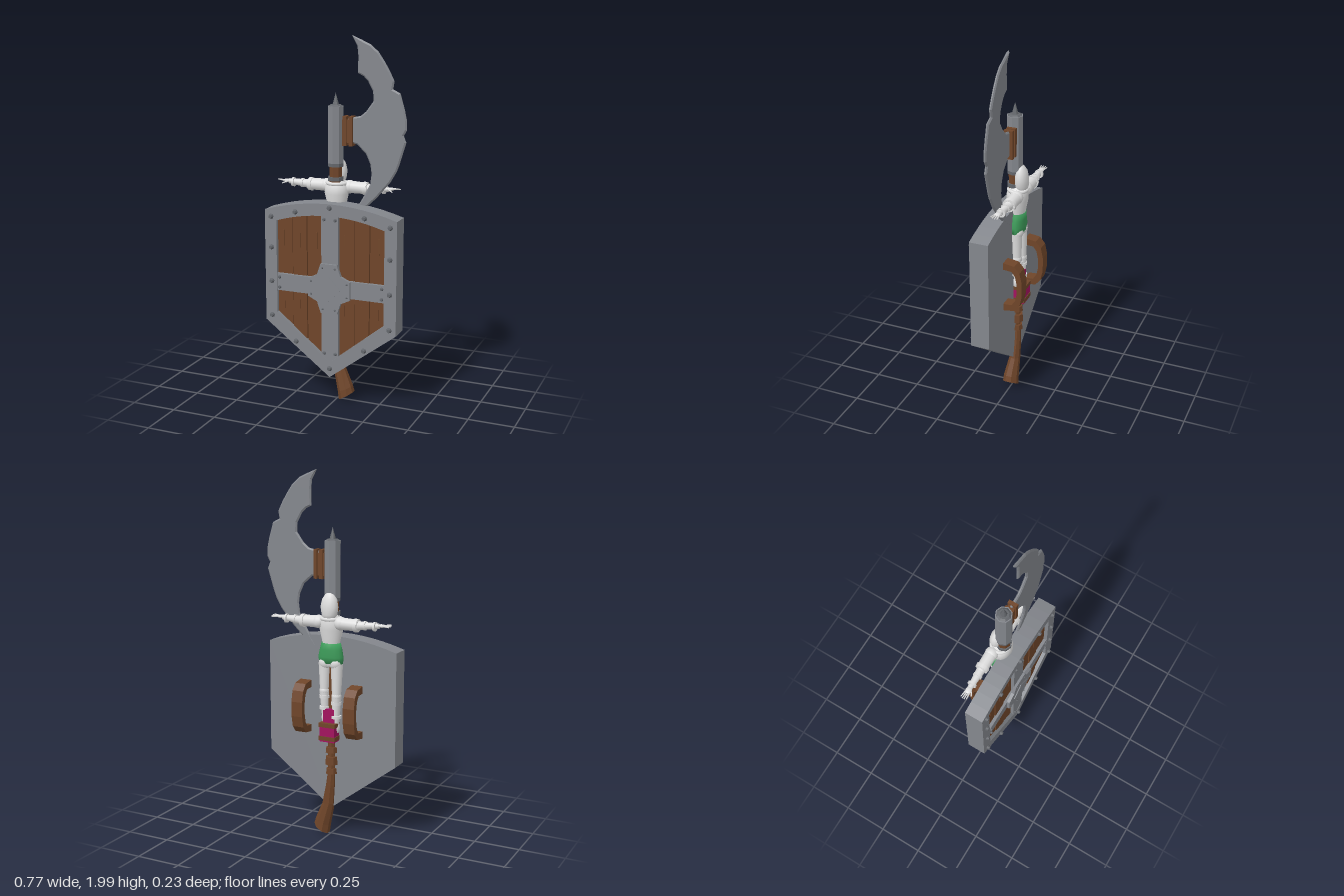
import * as THREE from 'three';

const paint = (name, color) => Object.assign(new THREE.MeshStandardMaterial({ color }), { name });

export function createModel() {
  const steel = paint('steel', 0x84878d), wood = paint('wood', 0x6f4529), dark = paint('dark steel', 0x64676c);
  const white = paint('white', 0xdedede), green = paint('green', 0x3d9c5a), pink = paint('magenta', 0xa3125f);
  const model = new THREE.Group();

  const add = (parent, name, geo, mat, x = 0, y = 0, z = 0) => {
    const m = new THREE.Mesh(geo, mat);
    m.name = name;
    m.position.set(x, y, z);
    parent.add(m);
    return m;
  };
  const part = (name, x = 0) => {
    const g = new THREE.Group();
    g.name = name;
    g.position.x = x;
    model.add(g);
    return g;
  };
  const flat = (geo) => {
    const g = geo.index ? geo.toNonIndexed() : geo;
    g.computeVertexNormals();
    return g;
  };
  const box = (w, h, d) => new THREE.BoxGeometry(w, h, d);
  const outline = (pts) => new THREE.Shape(pts.map(([x, y]) => new THREE.Vector2(x, y)));
  const slab = (shape, depth) => new THREE.ExtrudeGeometry(shape, { depth, bevelEnabled: false });

  // Skin over elliptic rings listed upward: [y, cx, cz, rx, rz, tilt]
  const loft = (rings, sides, smooth) => {
    const pos = [], idx = [], n = sides, last = (rings.length - 1) * n;
    for (const [y, cx, cz, rx, rz, tilt = 0] of rings)
      for (let i = 0; i < n; i++) {
        const a = ((i + 0.5) / n) * Math.PI * 2, dx = Math.cos(a) * rx;
        pos.push(cx + dx, y + tilt * dx, cz + Math.sin(a) * rz);
      }
    for (let r = 0; r < last; r += n)
      for (let i = 0; i < n; i++) {
        const a = r + i, b = r + (i + 1) % n;
        idx.push(a, a + n, b, b, a + n, b + n);
      }
    for (let i = 1; i < n - 1; i++) idx.push(0, i, i + 1, last, last + i + 1, last + i);
    const g = new THREE.BufferGeometry();
    g.setAttribute('position', new THREE.Float32BufferAttribute(pos, 3));
    g.setIndex(idx);
    if (!smooth) return flat(g);
    g.computeVertexNormals();
    return g;
  };

  // Tapered rod between two points
  const rod = (parent, name, a, b, ra, rb, mat, sides = 12) => {
    const p = new THREE.Vector3(...a), q = new THREE.Vector3(...b), d = q.clone().sub(p);
    const m = add(parent, name, new THREE.CylinderGeometry(rb, ra, d.length(), sides), mat);
    m.position.copy(p).add(q).multiplyScalar(0.5);
    m.quaternion.setFromUnitVectors(new THREE.Vector3(0, 1, 0), d.normalize());
  };
  const ball = (parent, name, mat, [x, y, z], rx, ry = rx, rz = rx) =>
    add(parent, name, new THREE.SphereGeometry(1, 16, 12), mat, x, y, z).scale.set(rx, ry, rz);

  // ---- Shield ----
  const shield = part('shield', -0.007);
  const top = (x, mid, drop, half) => mid - drop * (x / half) ** 2;
  const crest = (half, mid, drop, low, tip) => {
    const pts = [[0, tip], [half, low]];
    for (let i = 6; i >= -6; i--) pts.push([(half * i) / 6, top((half * i) / 6, mid, drop, half)]);
    pts.push([-half, low]);
    return outline(pts);
  };
  add(shield, 'shieldBody', slab(crest(0.378, 1.13, 0.06, 0.45, 0.165), 0.065), steel, 0, 0, -0.01);
  const rim = crest(0.378, 1.13, 0.06, 0.45, 0.165);
  rim.holes.push(crest(0.31, 1.065, 0.05, 0.5, 0.25));
  add(shield, 'shieldRim', slab(rim, 0.04), steel, 0, 0, 0.055);

  // Planks follow the arched top and pointed bottom of the rim opening
  const yTop = (x) => top(x, 1.065, 0.05, 0.31), yLow = (x) => 0.25 + Math.abs(x) * 0.806;
  for (const s of [-1, 1])
    [[0.05, 0.135], [0.139, 0.22], [0.224, 0.31]].forEach(([a, b], i) => {
      const [l, r] = s > 0 ? [a, b] : [-b, -a];
      add(shield, 'plank', slab(outline([[l, yLow(l)], [r, yLow(r)], [r, yTop(r)], [l, yTop(l)]]),
        0.019 + (i % 2) * 0.004), wood, 0, 0, 0.055);
      // Splits in the timber
      for (const [y, h] of [[0.92, 0.09], [0.55, 0.06]])
        add(shield, 'plankSplit', box(0.005, h, 0.004), wood, s * (a + 0.03 + 0.01 * i), y, 0.078);
    });

  add(shield, 'uprightBar', slab(outline([[0, 0.25], [0.048, 0.28], [0.048, 1.07], [-0.048, 1.07], [-0.048, 0.28]]), 0.037),
    steel, 0, 0, 0.055);
  add(shield, 'crossBar', box(0.63, 0.095, 0.037), steel, 0, 0.672, 0.0735);

  const quarter = [[0.12, 0.05], [0.068, 0.075], [0.047, 0.137]];
  const boss = [...quarter, ...quarter.map(([x, y]) => [-x, y]).reverse(),
    ...quarter.map(([x, y]) => [-x, -y]), ...quarter.map(([x, y]) => [x, -y]).reverse()];
  add(shield, 'bossPlate', slab(outline(boss), 0.018), steel, 0, 0.668, 0.088);
  add(shield, 'bossDiamond', slab(outline([[0.07, 0], [0, 0.07], [-0.07, 0], [0, -0.07]]), 0.006), steel, 0, 0.668, 0.105);

  const rivet = (x, y, z, r) => {
    const g = flat(new THREE.CylinderGeometry(r * 0.6, r, r, 8).rotateX(Math.PI / 2));
    add(shield, 'rivet', g, dark, x, y, z + r / 2);
  };
  for (const s of [-1, 1]) {
    for (const [x, y] of [[0.341, 1.035], [0.341, 0.865], [0.341, 0.675], [0.341, 0.48], [0.198, 0.345], [0.198, 1.072]])
      rivet(s * x, y, 0.095, 0.015);
    for (const y of [1.045, 0.3]) rivet(s * 0.032, y, 0.092, 0.01);
    for (const y of [0.7, 0.643]) rivet(s * 0.296, y, 0.092, 0.01);
    for (const t of [-1, 1])
      for (const [x, y] of [[0.036, 0.115], [0.103, 0.036]]) rivet(s * x, 0.668 + t * y, 0.106, 0.006);
  }
  for (const y of [1.11, 0.215]) rivet(0, y, 0.095, 0.015);

  // Grips on the shield's back
  const grip = outline([[0, 0.585], [0.07, 0.595], [0.1, 0.63], [0.113, 0.69], [0.113, 0.77], [0.1, 0.83], [0.07, 0.865],
    [0, 0.875], [0, 0.835], [0.055, 0.832], [0.075, 0.805], [0.084, 0.76], [0.084, 0.7], [0.075, 0.655], [0.055, 0.628], [0, 0.625]]);
  for (const s of [-1, 1])
    add(shield, 'grip', slab(grip, 0.065).rotateY(Math.PI / 2), wood, s * 0.154 - 0.0325, 0, -0.003);

  // ---- Axe ----
  const axe = part('axe');
  add(axe, 'stock', loft([
    [0.035, 0.055, 0, 0.043, 0.044, 0.62], [0.075, 0.047, 0, 0.042, 0.042, 0.45], [0.19, 0.01, -0.008, 0.035, 0.03],
    [0.3, -0.005, -0.012, 0.026, 0.025], [0.37, -0.01, -0.012, 0.021, 0.022]], 8), wood);
  add(axe, 'shaft', loft([[0.36, -0.01, -0.008, 0.022, 0.024], [1.34, -0.01, 0, 0.024, 0.026]], 8), wood);
  for (const [y, h, r] of [[0.38, 0.03, 0.032], [0.44, 0.045, 0.036], [0.5, 0.03, 0.034]])
    add(axe, 'shaftCollar', flat(new THREE.CylinderGeometry(r * 0.9, r, h, 8)), wood, -0.01, y, -0.012);
  add(axe, 'lowerWrap', box(0.088, 0.095, 0.075), pink, -0.01, 0.603, -0.032);
  add(axe, 'upperWrap', box(0.066, 0.09, 0.056), pink, -0.01, 0.69, -0.022);
  for (const y of [0.575, 0.648]) add(axe, 'wrapStrap', box(0.096, 0.022, 0.08), wood, -0.01, y, -0.033);
  add(axe, 'socket', flat(new THREE.CylinderGeometry(0.044, 0.044, 0.3, 8)), steel, -0.01, 1.485);
  add(axe, 'socketCap', flat(new THREE.CylinderGeometry(0.028, 0.044, 0.012, 8)), dark, -0.01, 1.637);
  add(axe, 'spike', flat(new THREE.ConeGeometry(0.02, 0.07, 8)), dark, -0.01, 1.67);
  add(axe, 'socketNeck', flat(new THREE.CylinderGeometry(0.036, 0.036, 0.1, 8)), wood, -0.01, 1.285);
  for (const y of [1.328, 1.252])
    add(axe, 'neckBand', flat(new THREE.CylinderGeometry(0.043, 0.043, 0.022, 8)), dark, -0.01, y);

  const blade = outline([[0.08, 2.0], [0.11, 1.945], [0.115, 1.895], [0.113, 1.81], [0.145, 1.795], [0.17, 1.77],
    [0.197, 1.72], [0.2, 1.67], [0.16, 1.615], [0.13, 1.59], [0.06, 1.575], [0.06, 1.45], [0.11, 1.44], [0.16, 1.395],
    [0.185, 1.34], [0.192, 1.29], [0.185, 1.235], [0.145, 1.16], [0.08, 1.05], [0.16, 1.105], [0.222, 1.165], [0.295, 1.25],
    [0.33, 1.31], [0.345, 1.35], [0.38, 1.465], [0.366, 1.5], [0.383, 1.53], [0.381, 1.58], [0.37, 1.63], [0.345, 1.715],
    [0.305, 1.735], [0.312, 1.775], [0.287, 1.825], [0.26, 1.87], [0.225, 1.92], [0.185, 1.955], [0.13, 1.98]]);
  add(axe, 'blade', new THREE.ExtrudeGeometry(blade, { depth: 0.004, bevelEnabled: true, bevelSegments: 1,
    bevelSize: 0.008, bevelThickness: 0.006, bevelOffset: -0.008 }), steel, 0, 0, -0.005);
  add(axe, 'bladeMount', box(0.05, 0.12, 0.036), wood, 0.056, 1.508, -0.003);
  for (const x of [0.046, 0.08])
    add(axe, 'mountStrap', box(0.02, 0.155, 0.05), wood, x, 1.508, -0.003);

  // ---- Figure tied along the shaft ----
  const figure = part('figure', -0.01);
  add(figure, 'torso', loft([[0.97, 0, -0.02, 0.05, 0.03], [1.04, 0, -0.017, 0.05, 0.034], [1.1, 0, -0.015, 0.05, 0.042],
    [1.17, 0, -0.013, 0.066, 0.058], [1.21, 0, -0.015, 0.066, 0.056], [1.235, 0, -0.018, 0.045, 0.045],
    [1.26, 0, -0.02, 0.025, 0.03]], 18, true), white);
  const collar = add(figure, 'collar', new THREE.TorusGeometry(0.052, 0.01, 8, 20).rotateX(Math.PI / 2), white, 0, 1.225, -0.017);
  collar.scale.z = 0.95;
  add(figure, 'hood', loft([[1.22, 0, -0.035, 0.03, 0.03], [1.25, 0, -0.038, 0.044, 0.036], [1.29, 0, -0.038, 0.05, 0.036],
    [1.33, 0, -0.035, 0.042, 0.032], [1.355, 0, -0.034, 0.025, 0.018], [1.367, 0, -0.034, 0.006, 0.005]], 14, true), white);
  add(figure, 'shorts', loft([[0.985, 0, -0.02, 0.07, 0.036], [1.02, 0, -0.02, 0.072, 0.042], [1.06, 0, -0.018, 0.064, 0.041],
    [1.095, 0, -0.016, 0.055, 0.043]], 16, true), green);

  for (const s of [-1, 1]) {
    // Arm, held straight out
    const sh = [s * 0.065, 1.205, -0.034], el = [s * 0.17, 1.203, -0.034], wr = [s * 0.285, 1.21, -0.03];
    ball(figure, 'shoulder', white, sh, 0.038, 0.036, 0.036);
    rod(figure, 'upperArm', sh, el, 0.034, 0.031, white);
    rod(figure, 'sleeveCuff', [s * 0.148, 1.203, -0.034], [s * 0.168, 1.203, -0.034], 0.037, 0.035, white);
    ball(figure, 'elbow', white, el, 0.025);
    rod(figure, 'forearm', el, wr, 0.024, 0.014, white);
    for (const x of [0.2, 0.255])
      rod(figure, 'armBand', [s * x, 1.206, -0.032], [s * (x + 0.012), 1.206, -0.032], 0.025, 0.025, white);
    ball(figure, 'palm', white, [s * 0.298, 1.212, -0.029], 0.022, 0.009, 0.017);
    for (let f = 0; f < 4; f++)
      rod(figure, 'finger', [s * 0.31, 1.213, -0.041 + f * 0.008],
        [s * (0.346 + (f === 1 || f === 2 ? 0.006 : 0)), 1.21 + f * 0.003, -0.046 + f * 0.011], 0.0045, 0.003, white, 6);
    rod(figure, 'thumb', [s * 0.29, 1.21, -0.018], [s * 0.318, 1.2, -0.002], 0.005, 0.003, white, 6);

    // Leg, one foot lower than the other
    const low = s < 0 ? 0.05 : 0;
    const hip = [s * 0.036, 0.985, -0.02], knee = [s * 0.036, 0.83 - low / 2, -0.026], ankle = [s * 0.033, 0.705 - low, -0.026];
    ball(figure, 'seat', white, [s * 0.03, 0.985, -0.028], 0.035, 0.035, 0.03);
    rod(figure, 'thigh', hip, knee, 0.034, 0.024, white);
    ball(figure, 'knee', white, knee, 0.027);
    rod(figure, 'shin', knee, ankle, 0.027, 0.018, white);
    for (const t of [0.25, 0.75]) {
      const y = knee[1] + (ankle[1] - knee[1]) * t;
      rod(figure, 'shinBand', [s * 0.035, y - 0.008, -0.026], [s * 0.035, y + 0.008, -0.026], 0.029, 0.029, white);
    }
    ball(figure, 'foot', white, [s * 0.033, ankle[1] - 0.025, -0.022], 0.02, 0.036, 0.022);
  }
  return model;
}
